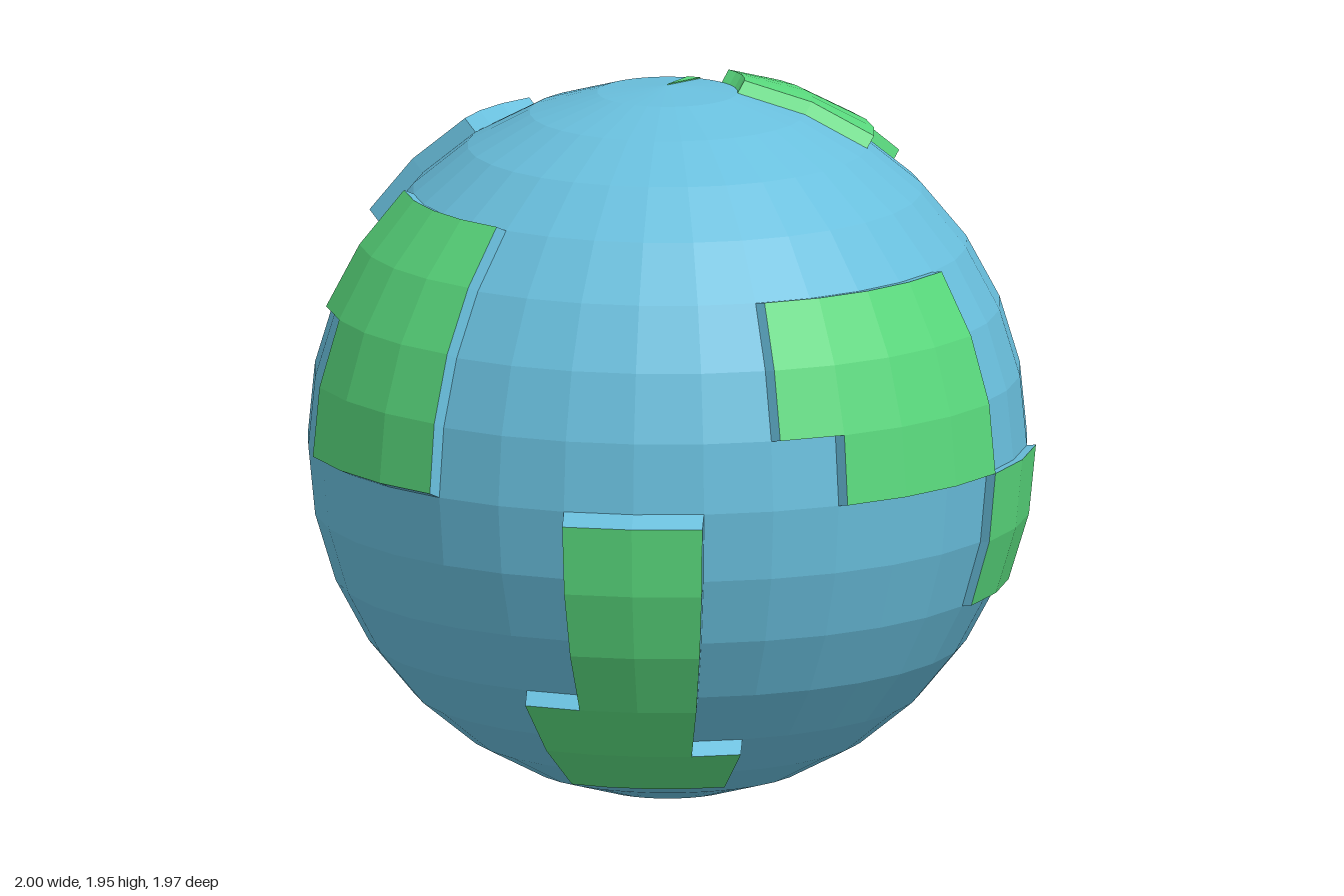
import * as THREE from 'three';

const R = 0.967, STEP = Math.PI / 16;
const CENTRE = new THREE.Vector3(0, R, -0.015);
const mat = (color) => new THREE.MeshStandardMaterial({ color, flatShading: true });

// Grid point on the globe: ring k counts down from the pole, i turns from the front towards +x
const gridPoint = (k, i) =>
  new THREE.Vector3().setFromSphericalCoords(R, k * STEP, i * STEP).add(CENTRE);

function meshFromQuads(quads, material, name) {
  const pos = [];
  for (const [a, b, c, d] of quads)
    for (const p of [a, b, c, a, c, d]) pos.push(p.x, p.y, p.z);
  const geo = new THREE.BufferGeometry();
  geo.setAttribute('position', new THREE.Float32BufferAttribute(pos, 3));
  geo.computeVertexNormals();
  const mesh = new THREE.Mesh(geo, material);
  mesh.name = name;
  return mesh;
}

// Land is a set of grid blocks [ring0, ring1, lon0, lon1] pushed out along one direction
function land(name, blocks, push, topMat, wallMat) {
  const d = new THREE.Vector3(...push);
  const cells = new Map();
  for (const [k0, k1, i0, i1] of blocks)
    for (let k = k0; k < k1; k++)
      for (let i = i0; i < i1; i++) cells.set(`${k},${i}`, [k, i]);

  const tops = [], walls = [];
  for (const [k, i] of cells.values()) {
    const base = [gridPoint(k, i), gridPoint(k + 1, i), gridPoint(k + 1, i + 1), gridPoint(k, i + 1)];
    const outer = base.map((p) => p.clone().add(d));
    tops.push(outer);
    // a wall wherever the neighbouring cell is sea
    [[k, i - 1], [k + 1, i], [k, i + 1], [k - 1, i]].forEach(([nk, ni], s) => {
      const t = (s + 1) % 4;
      if (!cells.has(`${nk},${ni}`)) walls.push([base[s], base[t], outer[t], outer[s]]);
    });
  }
  const group = new THREE.Group();
  group.name = name;
  group.add(meshFromQuads(tops, topMat, name + 'Surface'));
  group.add(meshFromQuads(walls, wallMat, name + 'Edge'));
  return group;
}

export function createModel() {
  const model = new THREE.Group();
  model.name = 'globe';
  const blue = mat(0x69bfdd), green = mat(0x59d97d);

  // Ocean sphere
  const ocean = new THREE.Mesh(new THREE.SphereGeometry(R, 32, 16), blue);
  ocean.name = 'ocean';
  ocean.position.copy(CENTRE);
  model.add(ocean);

  // Large land on the left side, reaching up towards the pole
  model.add(land('largeLand', [
    [1, 3, 4, 7], [1, 4, 7, 8], [2, 4, 8, 10],
    [4, 6, 8, 14], [6, 7, 8, 13], [7, 8, 8, 11],
  ], [0.028, 0.03, -0.005], green, green));

  // Front land and the block touching its corner
  model.add(land('frontLand', [
    [5, 7, -2, 2], [7, 8, -1, 2], [8, 10, 2, 4],
  ], [0.004, 0.006, 0.033], green, blue));

  // Land on the right side
  model.add(land('rightLand', [
    [4, 6, -11, -7], [6, 8, -10, -7],
  ], [-0.033, 0.015, 0], green, blue));

  // Land on the upper back
  model.add(land('backLand', [
    [3, 5, -16, -13], [5, 6, -16, -14],
  ], [-0.01, 0.034, -0.032], green, blue));

  // Long land on the lower front right
  model.add(land('lowerLand', [
    [8, 11, -5, -3], [11, 12, -6, -3], [12, 13, -6, -2],
  ], [-0.032, -0.032, 0.032], green, blue));

  // Small sliver at the pole
  model.add(land('poleSliver', [[0, 1, 10, 11]], [0, 0.003, 0], green, green));

  return model;
}
